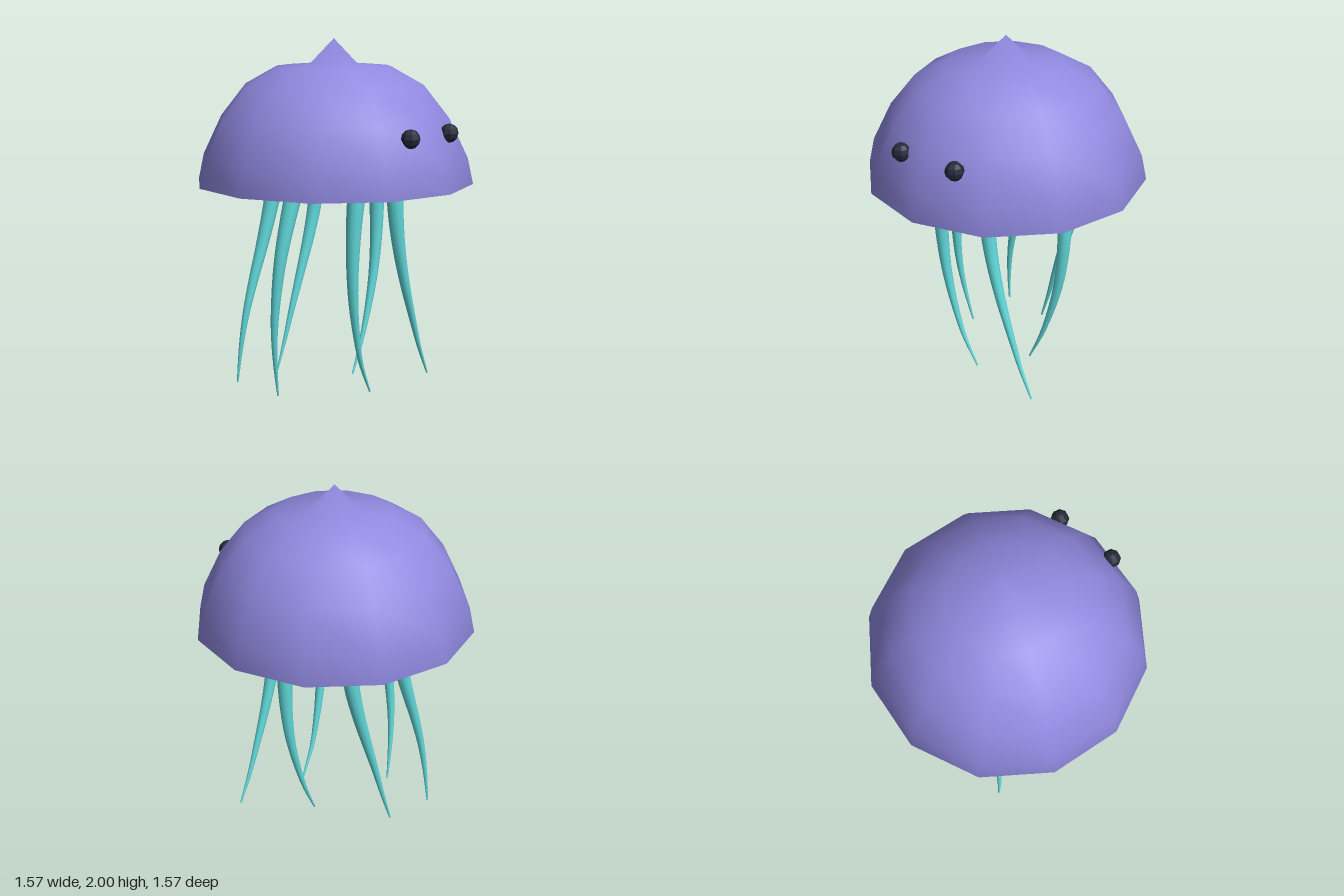
import * as THREE from 'three';

const bellMat = new THREE.MeshStandardMaterial({ name: 'violet bell', color: 0x9089e0, side: THREE.DoubleSide });
const tentacleMat = new THREE.MeshStandardMaterial({ name: 'turquoise tentacle', color: 0x5fd6d8, side: THREE.DoubleSide });
const eyeMat = new THREE.MeshStandardMaterial({ name: 'dark eye', color: 0x24283a, flatShading: true });

const RIM_Y = 1.2;
const TOP = 1.285, TOP_RADIUS = 0.0535, TIP_RADIUS = 0.005;
const HEIGHTS = [TOP, 1.2, 1.0, 0.8, 0.6, 0.4, 0.2];

// Each tentacle: x at the heights above and at the tip, tip height, z at top and tip
const TENTACLES = [
  { x: [0.383, 0.398, 0.411, 0.405, 0.38, 0.33, 0.262, 0.18], tipY: 0.02, z: [0, 0] },
  { x: [0.125, 0.127, 0.14, 0.175, 0.23, 0.30, 0.375, 0.455], tipY: 0.03, z: [0.331, 0.345] },
  { x: [-0.197, -0.207, -0.22, -0.218, -0.20, -0.16, -0.10, -0.005], tipY: 0.015, z: [0.325, 0.265] },
  { x: [-0.302, -0.33, -0.38, -0.416, -0.43, -0.427, -0.40, -0.357], tipY: 0.003, z: [0, -0.12] },
  { x: [-0.083, -0.10, -0.14, -0.19, -0.248, -0.295, -0.32, -0.33], tipY: 0.01, z: [-0.338, -0.455] },
  { x: [0.262, 0.265, 0.25, 0.205, 0.145, 0.083, 0.025, -0.033], tipY: 0.02, z: [-0.327, -0.405] },
];

// Twelve-sided shell shaded like a round dome; facing is 1 outside, -1 inside
function domeShell(profile, facing) {
  const geo = new THREE.LatheGeometry(profile.map(([r, y]) => new THREE.Vector2(r, y)), 12);
  const { position, normal } = geo.attributes;
  const v = new THREE.Vector3();
  for (let i = 0; i < position.count; i++) {
    v.fromBufferAttribute(position, i);
    v.y -= RIM_Y;
    v.normalize().multiplyScalar(facing);
    normal.setXYZ(i, v.x, v.y, v.z);
  }
  return geo;
}

// Faceted ball with its back flattened so that it stays within the bell wall
function makeEye(side) {
  const geo = new THREE.SphereGeometry(0.052, 8, 6);
  const outward = new THREE.Vector3(side * 0.25, 0.42, 0.87).normalize();
  const depth = -0.024;
  const pos = geo.attributes.position;
  const v = new THREE.Vector3();
  for (let i = 0; i < pos.count; i++) {
    v.fromBufferAttribute(pos, i);
    v.addScaledVector(outward, Math.max(0, depth - v.dot(outward)));
    pos.setXYZ(i, v.x, v.y, v.z);
  }
  const eye = new THREE.Mesh(geo, eyeMat);
  eye.name = side > 0 ? 'leftEye' : 'rightEye';
  eye.position.set(side * 0.182, 1.5, 0.65);
  return eye;
}

// Tube along a curve, narrowed steadily towards the tip
function taperedTube(curve, segments, sides) {
  const geo = new THREE.TubeGeometry(curve, segments, TOP_RADIUS, sides);
  const pos = geo.attributes.position;
  const v = new THREE.Vector3();
  for (let i = 0; i < pos.count; i++) {
    const t = Math.floor(i / (sides + 1)) / segments;
    const centre = curve.getPointAt(t);
    v.fromBufferAttribute(pos, i).sub(centre);
    v.multiplyScalar(THREE.MathUtils.lerp(TOP_RADIUS, TIP_RADIUS, t) / TOP_RADIUS).add(centre);
    pos.setXYZ(i, v.x, v.y, v.z);
  }
  return geo;
}

function makeTentacle({ x, tipY, z }) {
  const group = new THREE.Group();
  group.name = 'tentacle';
  const points = [...HEIGHTS, tipY].map((y, i) => {
    const t = (TOP - y) / (TOP - tipY);
    return new THREE.Vector3(x[i], y, THREE.MathUtils.lerp(z[0], z[1], t));
  });
  const curve = new THREE.CatmullRomCurve3(points);
  const arm = new THREE.Mesh(taperedTube(curve, 20, 10), tentacleMat);
  arm.name = 'tentacleArm';
  // Flat end hidden under the bell
  const cap = new THREE.Mesh(new THREE.CircleGeometry(TOP_RADIUS, 10), tentacleMat);
  cap.name = 'tentacleCap';
  cap.position.copy(points[0]);
  cap.lookAt(points[0].clone().sub(curve.getTangentAt(0)));
  group.add(arm, cap);
  return group;
}

export function createModel() {
  const model = new THREE.Group();
  model.name = 'jellyfish';

  // Bell with a small peak
  const bell = new THREE.Mesh(domeShell([
    [0.783, RIM_Y], [0.752, 1.344], [0.645, 1.566], [0.503, 1.746],
    [0.323, 1.847], [0.132, 1.862], [0, 2],
  ], 1), bellMat);
  bell.name = 'bell';

  // Hollow underside, a thin wall inside the bell that meets it at the rim
  const underside = new THREE.Mesh(domeShell([
    [0, 1.852], [0.132, 1.85], [0.318, 1.833], [0.492, 1.735],
    [0.632, 1.558], [0.738, 1.34], [0.783, RIM_Y],
  ], -1), bellMat);
  underside.name = 'bellUnderside';
  model.add(bell, underside);

  // Eyes set into the front of the bell
  for (const side of [-1, 1]) model.add(makeEye(side));

  // Ring of trailing tentacles
  for (const spec of TENTACLES) model.add(makeTentacle(spec));
  return model;
}
